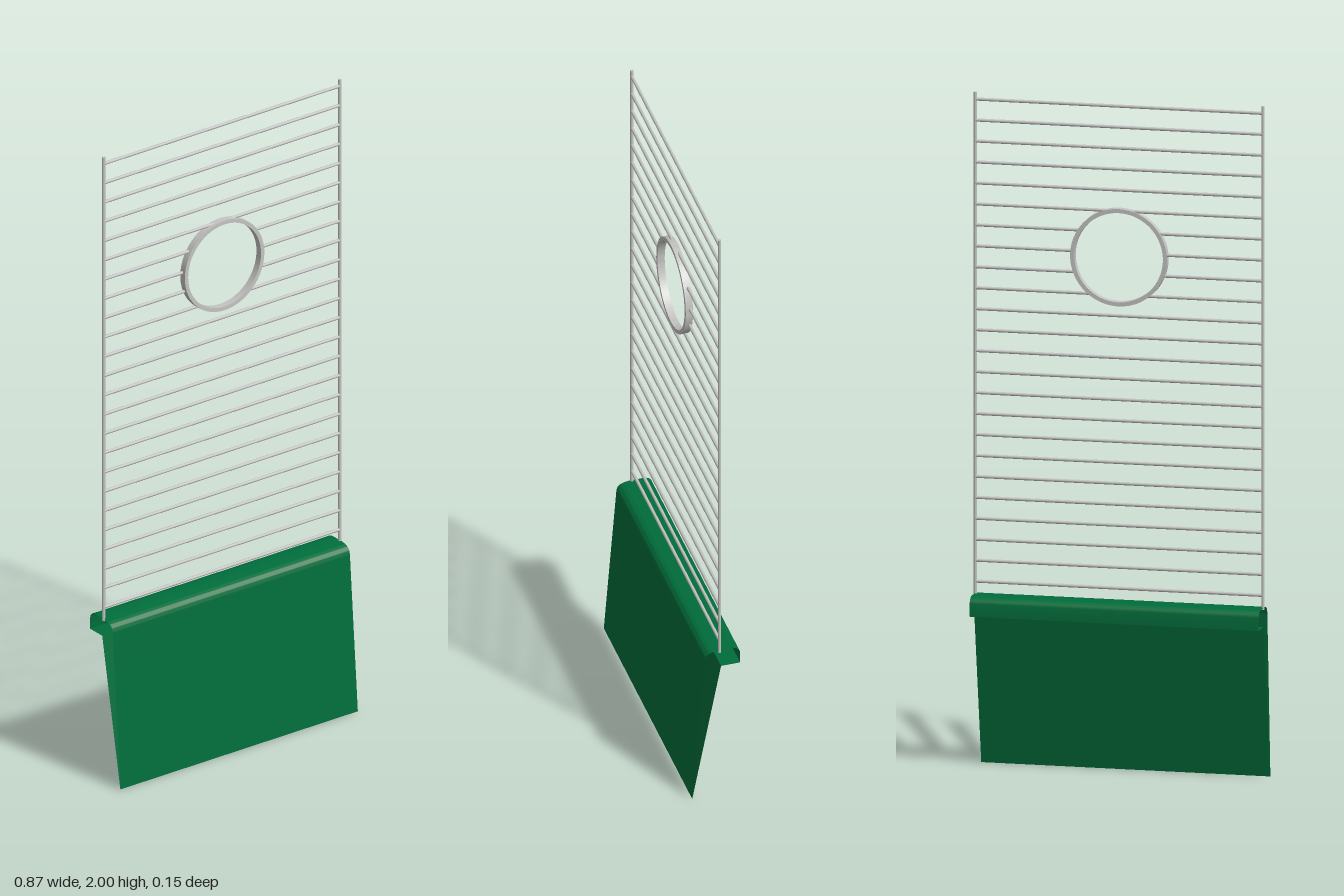
import * as THREE from 'three';
import { toCreasedNormals } from 'three/addons/utils/BufferGeometryUtils.js';

const HALF = 0.428;      // half width of the whole model
const ROD = 0.0048;      // rod radius
const GRID_Z = -0.012;   // plane of the wire grid
const RING_Y = 1.532, RING_OUT = 0.144, RING_IN = 0.132;

export function createModel() {
  const model = new THREE.Group();
  model.name = 'wireGridWithSkirt';

  const metal = new THREE.MeshStandardMaterial({ color: 0xc4c4c2 });
  metal.name = 'silver metal';
  const green = new THREE.MeshStandardMaterial({ color: 0x006d3b, side: THREE.DoubleSide });
  green.name = 'green sheet';

  const add = (parent, name, geometry, material) => {
    const mesh = new THREE.Mesh(geometry, material);
    mesh.name = name;
    parent.add(mesh);
    return mesh;
  };

  // Upright rods at both sides
  for (const side of [-1, 1]) {
    const post = add(model, side > 0 ? 'leftPost' : 'rightPost',
      new THREE.CylinderGeometry(ROD, ROD, 1.49, 12), metal);
    post.position.set(side * HALF, 1.255, GRID_Z);
  }

  // Horizontal rungs, interrupted where they meet the ring
  const rungs = new THREE.Group();
  rungs.name = 'rungs';
  model.add(rungs);
  const addRung = (x0, x1, y) => {
    const rung = add(rungs, 'rung', new THREE.CylinderGeometry(ROD, ROD, x1 - x0, 12), metal);
    rung.rotation.z = Math.PI / 2;
    rung.position.set((x0 + x1) / 2, y, GRID_Z);
  };
  const ringMid = (RING_OUT + RING_IN) / 2;
  for (let i = 0; i < 24; i++) {
    const y = 1.979 - i * 0.062;
    const dy = Math.abs(y - RING_Y);
    if (dy < ringMid) {
      const gap = Math.sqrt(ringMid ** 2 - dy ** 2);
      addRung(-HALF, -gap, y);
      addRung(gap, HALF, y);
    } else {
      addRung(-HALF, HALF, y);
    }
  }

  // Flat band ring around the opening
  const ringShape = new THREE.Shape().absarc(0, 0, RING_OUT, 0, Math.PI * 2);
  ringShape.holes.push(new THREE.Path().absarc(0, 0, RING_IN, 0, Math.PI * 2, true));
  const ringGeometry = new THREE.ExtrudeGeometry(ringShape,
    { depth: 0.022, bevelEnabled: false, curveSegments: 48 });
  const ring = add(model, 'ring', toCreasedNormals(ringGeometry, 0.5), metal);
  ring.position.set(0, RING_Y, -0.02);

  // Folded sheet: front panel, rounded cap, rear lip and rear panel, open at the ends
  const profile = new THREE.Path();          // (z, y)
  profile.moveTo(0.072, 0);
  profile.lineTo(0.034, 0.488);
  profile.quadraticCurveTo(0.033, 0.505, 0.02, 0.511);
  profile.quadraticCurveTo(0.007, 0.517, -0.01, 0.517);
  profile.lineTo(-0.045, 0.517);
  profile.quadraticCurveTo(-0.074, 0.517, -0.074, 0.492);
  profile.lineTo(-0.074, 0.46);
  profile.lineTo(-0.016, 0.46);
  profile.lineTo(0.071, 0);
  const points = profile.getPoints(8);
  const positions = [];
  for (let i = 0; i < points.length - 1; i++) {
    const a = points[i], b = points[i + 1], w = HALF + 0.002;
    positions.push(-w, a.y, a.x, w, a.y, a.x, w, b.y, b.x);
    positions.push(-w, a.y, a.x, w, b.y, b.x, -w, b.y, b.x);
  }
  const sheet = new THREE.BufferGeometry();
  sheet.setAttribute('position', new THREE.Float32BufferAttribute(positions, 3));
  sheet.computeVertexNormals();
  add(model, 'foldedSkirt', toCreasedNormals(sheet, 0.6), green);

  return model;
}
